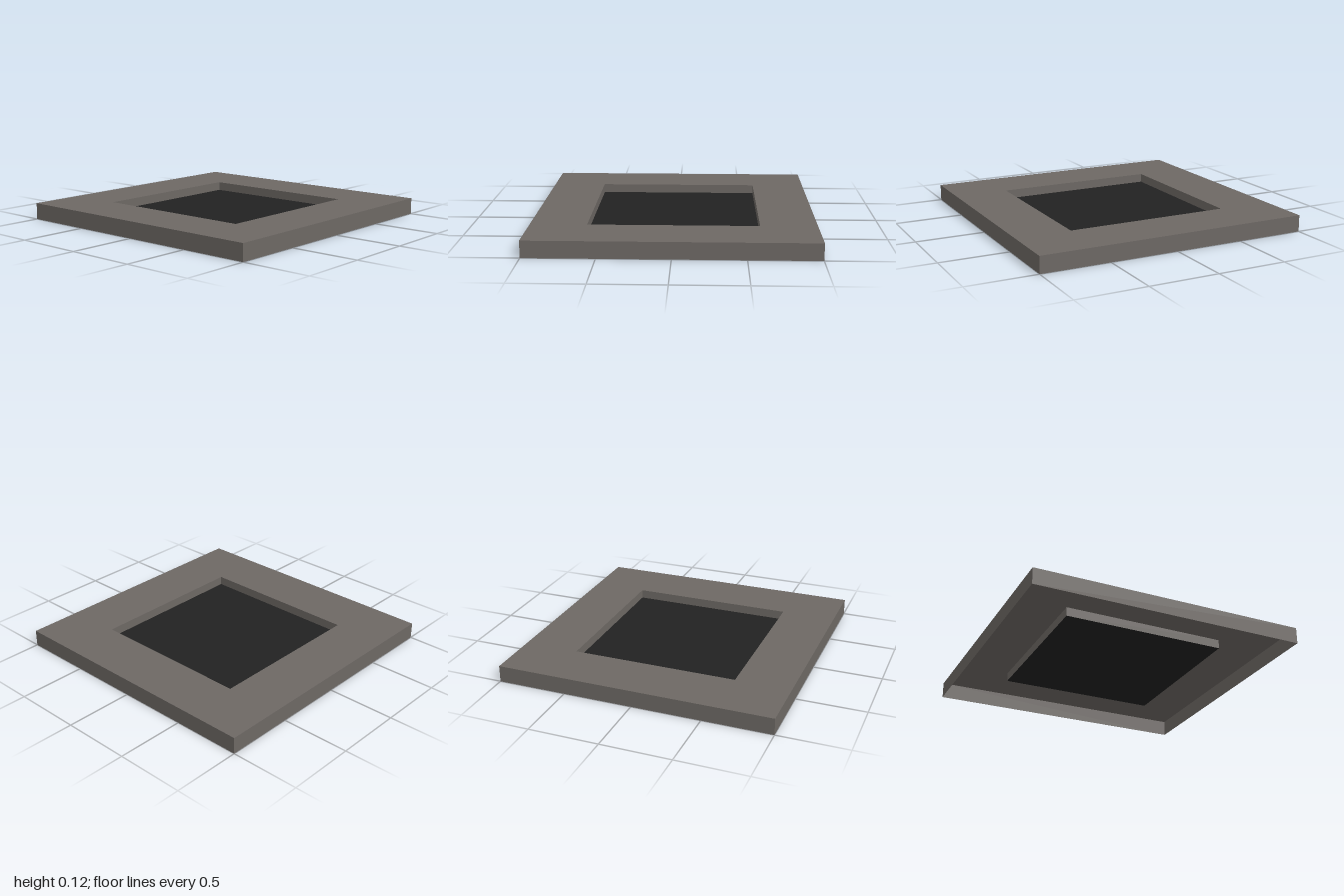
import * as THREE from 'three';

const HEIGHT = 0.12, FLOOR = 0.055, OUTER = 1, INNER = 0.6;

export function createModel() {
  const group = new THREE.Group();
  const grey = new THREE.MeshStandardMaterial({ color: 0x6d6864, side: THREE.DoubleSide, flatShading: true });
  grey.name = 'warm grey';
  const black = new THREE.MeshStandardMaterial({ color: 0x222222, side: THREE.DoubleSide, flatShading: true });
  black.name = 'near black';

  const add = (name, geometry, material) => {
    const mesh = new THREE.Mesh(geometry, material);
    mesh.name = name;
    group.add(mesh);
    return mesh;
  };

  // Open square tube of thin walls between two heights
  const squareWalls = (half, y0, y1) => {
    const r = half * Math.SQRT2;
    return new THREE.CylinderGeometry(r, r, y1 - y0, 4, 1, true)
      .rotateY(Math.PI / 4)
      .translate(0, (y0 + y1) / 2, 0);
  };

  const square = (path, h) => path.moveTo(-h, -h).lineTo(h, -h).lineTo(h, h).lineTo(-h, h).closePath();

  // Flat border around the square opening
  const border = square(new THREE.Shape(), OUTER);
  border.holes.push(square(new THREE.Path(), INNER));
  add('topBorder', new THREE.ShapeGeometry(border).rotateX(-Math.PI / 2).translate(0, HEIGHT, 0), grey);

  // Skirt open underneath, and the sides of the recess
  add('outerSkirt', squareWalls(OUTER, 0, HEIGHT), grey);
  add('recessWalls', squareWalls(INNER, FLOOR, HEIGHT), grey);

  // Dark panel at the bottom of the recess
  add('recessPanel', new THREE.PlaneGeometry(INNER * 2, INNER * 2).rotateX(-Math.PI / 2).translate(0, FLOOR, 0), black);

  return group;
}
